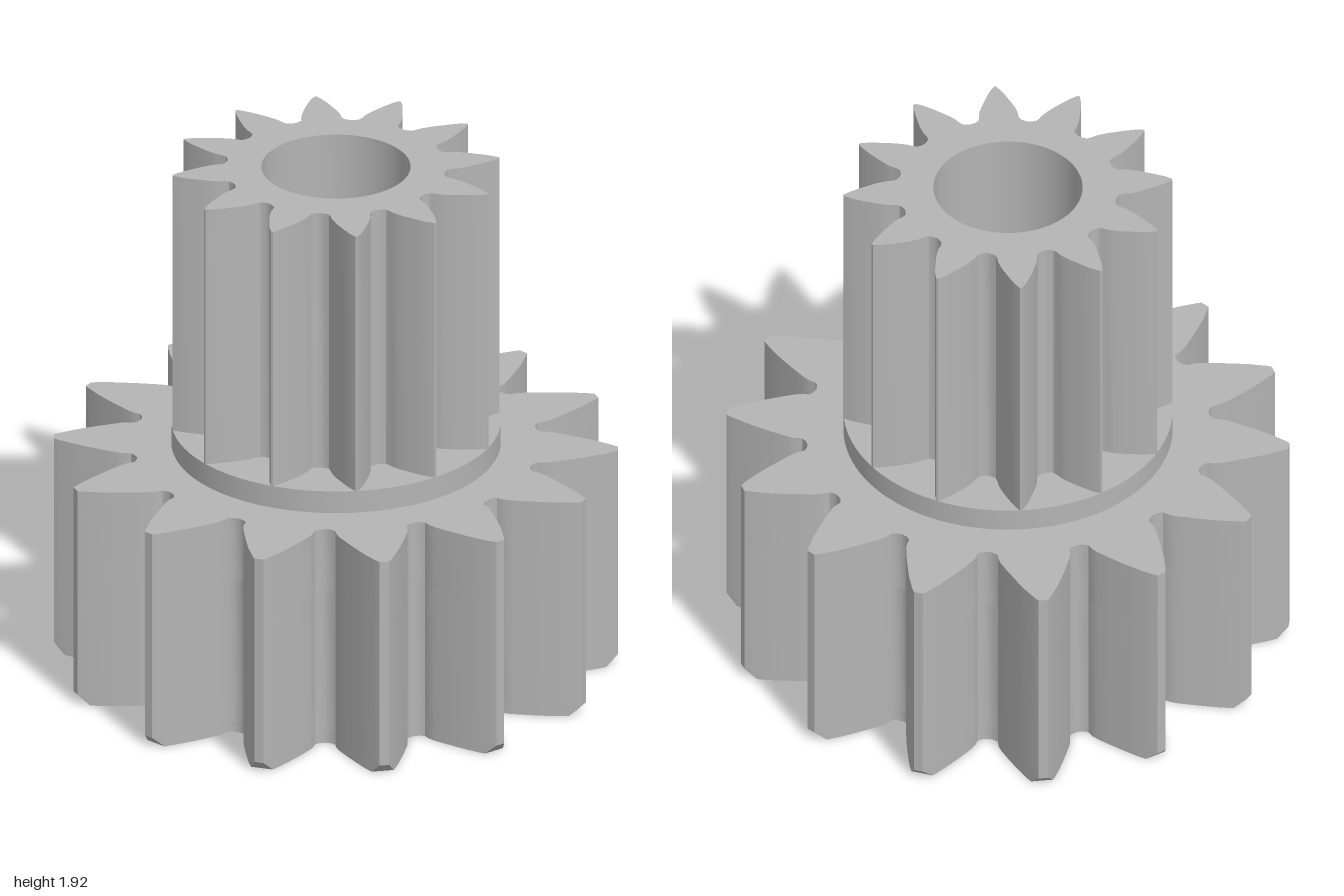
import * as THREE from 'three';
import { toCreasedNormals } from 'three/addons/utils/BufferGeometryUtils.js';

const BORE = 0.265;
const PITCH = (2 * Math.PI) / 14;
const PHASE = THREE.MathUtils.degToRad(-5.9);
const CHAMFER = [0.964, 0.04]; // flank point where the bottom tip chamfer starts

// Point given along a spoke and sideways from it
function polar(angle, along, side) {
  const c = Math.cos(angle), s = Math.sin(angle);
  return new THREE.Vector2(along * c - side * s, along * s + side * c);
}

// Gear outline: flank runs from root to tip, root is half of the rounded slot
function gearShape(teeth, phase, flank, root) {
  const pitch = (2 * Math.PI) / teeth;
  const points = [];
  for (let i = 0; i < teeth; i++) {
    const a = phase + i * pitch;
    const slot = a + pitch / 2;
    for (const [r, w] of flank) points.push(polar(a, r, -w));
    for (const [r, w] of [...flank].reverse()) points.push(polar(a, r, w));
    for (const [r, w] of root) points.push(polar(slot, r, -w));
    for (const [r, w] of [...root].reverse().slice(1)) points.push(polar(slot, r, w));
  }
  return new THREE.Shape(points);
}

function addBore(shape) {
  shape.holes.push(new THREE.Path().absarc(0, 0, BORE, 0, Math.PI * 2, true));
  return shape;
}

// Three rectangular pockets around the bore
function addPockets(shape) {
  for (let i = 0; i < 3; i++) {
    const a = (i * 2 * Math.PI) / 3;
    const corners = [[0.272, -0.195], [0.272, 0.195], [0.48, 0.195], [0.48, -0.195]];
    shape.holes.push(new THREE.Path(corners.map(([r, w]) => polar(a, r, w))));
  }
  return shape;
}

const largeGear = () => addBore(gearShape(14, PHASE,
  [[0.75, 0.128], [0.775, 0.122], [0.82, 0.105], [0.86, 0.089], [0.9, 0.072], [0.935, 0.056],
    CHAMFER, [0.985, 0.029], [1.003, 0.017]],
  [[0.733, 0.036], [0.722, 0.02], [0.718, 0]]));

const smallGear = () => addBore(gearShape(12, 0,
  [[0.41, 0.07], [0.43, 0.069], [0.45, 0.064], [0.475, 0.056], [0.5, 0.046], [0.53, 0.034],
    [0.56, 0.02], [0.585, 0.004]],
  [[0.398, 0.03], [0.391, 0.015], [0.388, 0]]));

// Pull the bottom tooth tips back onto the flank to cut the chamfer
function chamferTips(geometry) {
  const p = geometry.attributes.position;
  for (let i = 0; i < p.count; i++) {
    const x = p.getX(i), y = p.getY(i);
    if (p.getZ(i) > 0.001 || Math.hypot(x, y) < 0.97) continue;
    const angle = PHASE + Math.round((Math.atan2(y, x) - PHASE) / PITCH) * PITCH;
    const side = Math.sign(y * Math.cos(angle) - x * Math.sin(angle));
    const q = polar(angle, CHAMFER[0], side * CHAMFER[1]);
    p.setXY(i, q.x, q.y);
  }
}

export function createModel() {
  const model = new THREE.Group();
  model.name = 'doublePinion';
  const grey = new THREE.MeshStandardMaterial({ color: 0xb4b4b4 });
  grey.name = 'plain grey';

  // Upright slab between two heights
  function slab(name, shape, y0, y1, modify) {
    const extruded = new THREE.ExtrudeGeometry(shape, {
      depth: y1 - y0, bevelEnabled: false, curveSegments: 64,
    });
    if (modify) modify(extruded);
    extruded.rotateX(-Math.PI / 2);
    const mesh = new THREE.Mesh(toCreasedNormals(extruded, 0.6), grey);
    mesh.name = name;
    mesh.position.y = y0;
    model.add(mesh);
  }

  // Large gear, with chamfered lower edge and pockets open to below
  slab('largeGearChamfer', addPockets(largeGear()), 0, 0.04, chamferTips);
  slab('largeGearPocketed', addPockets(largeGear()), 0.04, 0.6);
  slab('largeGearTop', largeGear(), 0.6, 0.84);

  // Round collar between the gears
  const disc = new THREE.Shape().absarc(0, 0, 0.585, 0, Math.PI * 2, false);
  slab('collar', addBore(disc), 0.84, 0.925);

  // Small gear
  slab('smallGear', smallGear(), 0.925, 1.925);
  return model;
}
